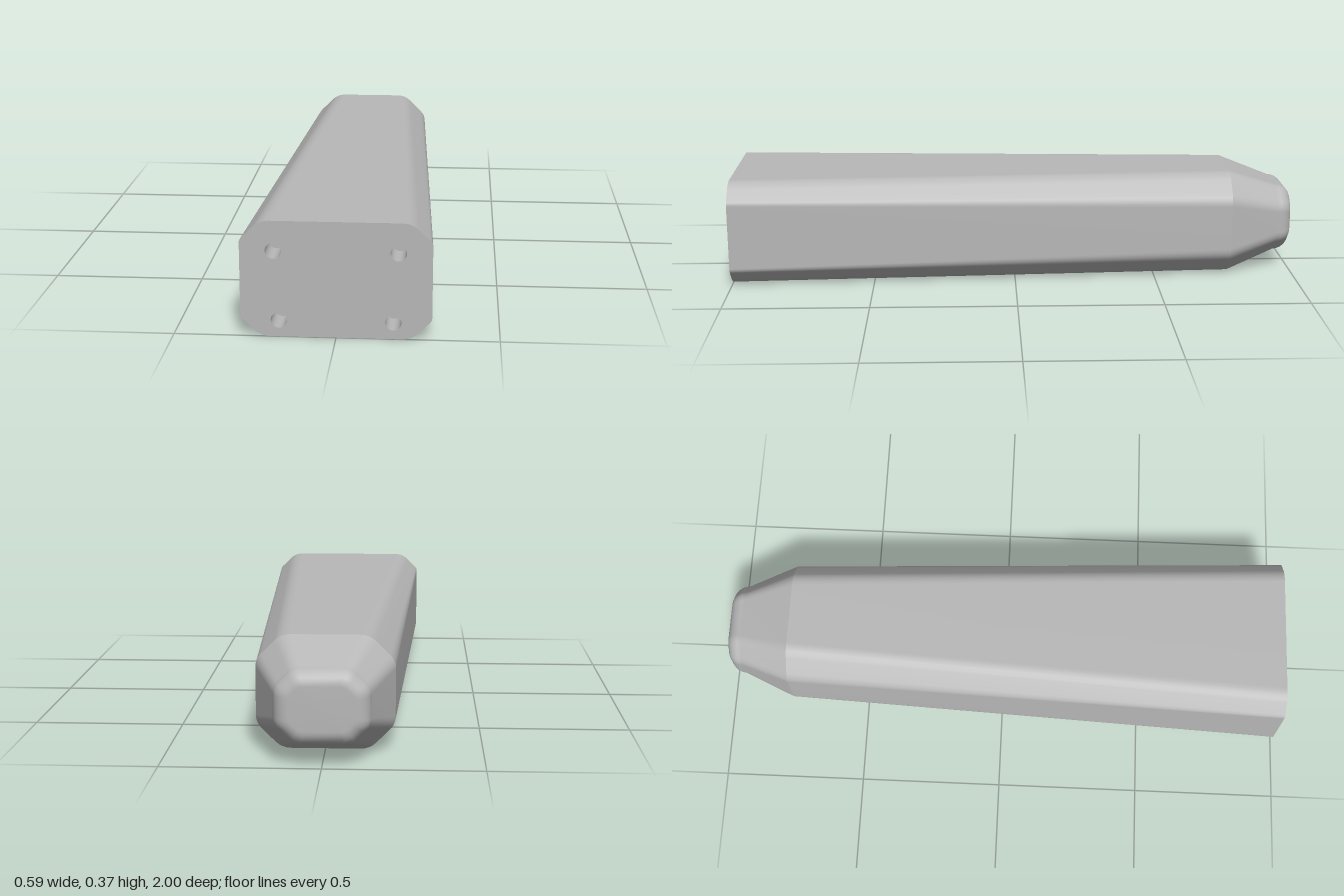
import * as THREE from 'three';

const MID = 0.185; // height of the long axis

// Chamfered rectangle with softened corners, counter-clockwise seen from the front.
// w, h: half sizes; c: chamfer; fs, ft: fillet lengths at the side and top corners
function section({ w, h, c, fs, ft }) {
  const quarter = [];
  const round = (start, corner, end) =>
    quarter.push(...new THREE.QuadraticBezierCurve(start, corner, end).getPoints(4));
  const V = (x, y) => new THREE.Vector2(x, y);
  const k = Math.SQRT1_2;
  round(V(w, h - c - fs), V(w, h - c), V(w - fs * k, h - c + fs * k));
  round(V(w - c + ft * k, h - ft * k), V(w - c, h), V(w - c - ft, h));
  const mirror = (pts, sx, sy) => pts.map((p) => V(p.x * sx, p.y * sy));
  const back = [...quarter].reverse();
  return [...quarter, ...mirror(back, -1, 1), ...mirror(quarter, -1, -1), ...mirror(back, 1, -1)]
    .map((p) => V(p.x, p.y + MID));
}

// Skin through sections running from front to back, optionally closed at the back
function loft(rings, capped) {
  const pos = [];
  const index = [];
  const n = 40;
  rings.forEach((r) => section(r).forEach((p) => pos.push(p.x, p.y, r.z)));
  for (let i = 0; i < rings.length - 1; i++) {
    for (let j = 0; j < n; j++) {
      const a = i * n + j;
      const b = i * n + ((j + 1) % n);
      index.push(a, a + n, b, b, a + n, b + n);
    }
  }
  if (capped) {
    const base = (rings.length - 1) * n;
    const centre = pos.length / 3;
    pos.push(0, MID, rings[rings.length - 1].z);
    for (let j = 0; j < n; j++) index.push(centre, base + ((j + 1) % n), base + j);
  }
  const g = new THREE.BufferGeometry();
  g.setAttribute('position', new THREE.Float32BufferAttribute(pos, 3));
  g.setIndex(index);
  g.computeVertexNormals();
  return g;
}

export function createModel() {
  const group = new THREE.Group();
  const grey = new THREE.MeshStandardMaterial({ color: 0xb8b8b8 });
  grey.name = 'plain grey';
  const add = (name, geometry) => {
    const mesh = new THREE.Mesh(geometry, grey);
    mesh.name = name;
    group.add(mesh);
    return mesh;
  };

  // Long tapering body
  const front = { z: 1, w: 0.293, h: 0.185, c: 0.062, fs: 0.01, ft: 0.03 };
  const shoulder = { z: -0.77, w: 0.222, h: 0.185, c: 0.082, fs: 0.025, ft: 0.03 };
  add('body', loft([front, shoulder], false));

  // Steeper nose, then a rounded tip
  const nose = [shoulder];
  const rim = { w: 0.152, h: 0.122, c: 0.062 };
  nose.push({ z: -0.945, ...rim, fs: 0.022, ft: 0.022 });
  for (let i = 1; i <= 6; i++) {
    const a = (i / 6) * (Math.PI / 2);
    const inset = 0.052 * (1 - Math.cos(a));
    nose.push({
      z: -0.945 - 0.055 * Math.sin(a),
      w: rim.w - inset, h: rim.h - inset, c: rim.c - inset * 0.6,
      fs: 0.022 - inset * 0.2, ft: 0.022 - inset * 0.2,
    });
  }
  add('nose', loft(nose, true));

  // Front face with four round screw holes
  const holes = [[0.19, 0.275], [-0.19, 0.275], [0.175, 0.053], [-0.175, 0.053]];
  const radius = 0.025;
  const depth = 0.1;
  const face = new THREE.Shape(section(front));
  for (const [x, y] of holes) {
    face.holes.push(new THREE.Path().absarc(x, y, radius, 0, Math.PI * 2, true));
  }
  add('frontFace', new THREE.ShapeGeometry(face, 10).translate(0, 0, 1));

  // Hole walls are turned inside out so they show from within
  const wall = new THREE.CylinderGeometry(radius, radius, depth, 20, 1, true);
  wall.rotateX(Math.PI / 2);
  wall.scale(-1, 1, 1);
  const normals = wall.attributes.normal;
  for (let i = 0; i < normals.count; i++) {
    normals.setXYZ(i, -wall.attributes.position.getX(i) / radius, -wall.attributes.position.getY(i) / radius, 0);
  }
  const floor = new THREE.CircleGeometry(radius, 20);
  for (const [x, y] of holes) {
    add('holeWall', wall).position.set(x, y, 1 - depth / 2);
    add('holeFloor', floor).position.set(x, y, 1 - depth);
  }
  return group;
}
